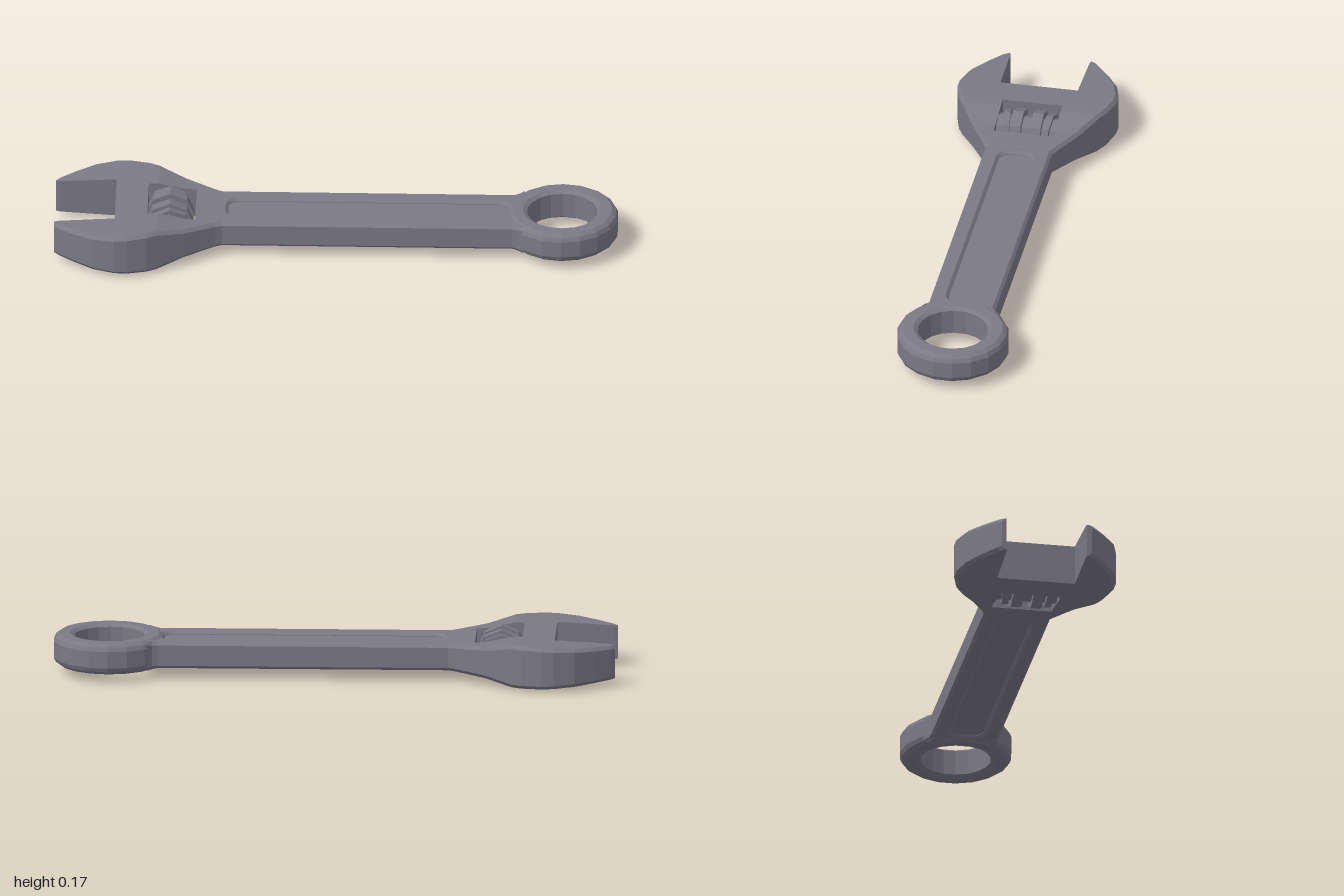
import * as THREE from 'three';

const MID = 0.0865; // height of the wrench's middle plane

// Loft one half of a chamfered bar along x; stations are [x, zInner, zOuter, halfThickness]
function halfLoft(stations, side, chamfer) {
  const pos = [];
  const loops = stations.map(([x, zi, zo, h]) => {
    const c = Math.min(chamfer, (zo - zi) * 0.6);
    return [
      [zi, -h], [zo - c, -h], [zo, -h + chamfer], [zo, h - chamfer], [zo - c, h], [zi, h],
    ].map(([z, y]) => [x, y, z * side]);
  });
  const tri = (a, b, c) => (side > 0 ? pos.push(...a, ...b, ...c) : pos.push(...a, ...c, ...b));
  for (let i = 0; i < loops.length - 1; i++) {
    const p = loops[i], q = loops[i + 1];
    for (let j = 0; j < 6; j++) {
      const k = (j + 1) % 6;
      tri(p[j], q[j], p[k]);
      tri(p[k], q[j], q[k]);
    }
  }
  const s = loops[0], e = loops[loops.length - 1];
  for (let j = 1; j < 5; j++) {
    tri(s[0], s[j], s[j + 1]);
    tri(e[0], e[j + 1], e[j]);
  }
  const g = new THREE.BufferGeometry();
  g.setAttribute('position', new THREE.Float32BufferAttribute(pos, 3));
  g.computeVertexNormals();
  return g;
}

// Trace a rounded rectangle into a shape or path
function roundedRect(path, x0, x1, h, r) {
  path.moveTo(x0 + r, -h);
  path.lineTo(x1 - r, -h);
  path.absarc(x1 - r, -h + r, r, -Math.PI / 2, 0);
  path.lineTo(x1, h - r);
  path.absarc(x1 - r, h - r, r, 0, Math.PI / 2);
  path.lineTo(x0 + r, h);
  path.absarc(x0 + r, h - r, r, Math.PI / 2, Math.PI);
  path.lineTo(x0, -h + r);
  path.absarc(x0 + r, -h + r, r, Math.PI, Math.PI * 1.5);
  return path;
}

export function createModel() {
  const model = new THREE.Group();
  const steel = new THREE.MeshStandardMaterial({ color: 0x7b7986, flatShading: true });
  steel.name = 'steel grey';

  const add = (name, geometry, parent = model) => {
    const mesh = new THREE.Mesh(geometry, steel);
    mesh.name = name;
    parent.add(mesh);
    return mesh;
  };

  const body = new THREE.Group();
  body.name = 'wrench';
  body.position.y = MID;
  model.add(body);

  // Head: jaws, bridge, window rails and the taper into the handle
  const sections = {
    jaw: [
      [-1, 0.145, 0.162, 0.06], [-0.985, 0.143, 0.18, 0.062], [-0.93, 0.142, 0.222, 0.065],
      [-0.86, 0.141, 0.267, 0.069], [-0.785, 0.14, 0.288, 0.073],
    ],
    bridge: [[-0.785, 0, 0.288, 0.073], [-0.74, 0, 0.287, 0.075], [-0.67, 0, 0.267, 0.077]],
    windowRail: [
      [-0.67, 0.108, 0.267, 0.077], [-0.635, 0.108, 0.248, 0.077],
      [-0.54, 0.108, 0.195, 0.057], [-0.5, 0.108, 0.171, 0.054],
    ],
    headTaper: [[-0.5, 0, 0.171, 0.054], [-0.43, 0, 0.13, 0.049], [-0.405, 0, 0.12, 0.0475]],
    ringNeck: [[0.625, 0, 0.12, 0.0475], [0.645, 0, 0.126, 0.051], [0.664, 0, 0.142, 0.053]],
  };
  for (const [name, stations] of Object.entries(sections)) {
    for (const side of [1, -1]) {
      add(name + (side > 0 ? 'Front' : 'Back'), halfLoft(stations, side, 0.012), body);
    }
  }

  // Handle frame with a long rounded recess on both faces
  const outline = new THREE.Shape();
  outline.moveTo(-0.42, -0.11);
  outline.lineTo(0.64, -0.11);
  outline.lineTo(0.64, 0.11);
  outline.lineTo(-0.42, 0.11);
  outline.closePath();
  outline.holes.push(roundedRect(new THREE.Path(), -0.395, 0.62, 0.07, 0.05));
  const frame = new THREE.ExtrudeGeometry(outline, {
    depth: 0.074, bevelThickness: 0.01, bevelSize: 0.01, bevelSegments: 1, curveSegments: 6,
  });
  frame.translate(0, 0, -0.037);
  frame.rotateX(-Math.PI / 2);
  add('handleFrame', frame, body);
  const web = add('handleWeb', new THREE.BoxGeometry(1.05, 0.07, 0.19), body);
  web.position.x = 0.11;

  // Closed ring at the other end
  const profile = [
    [0.2, -0.03], [0.2, 0.03], [0.193, 0.045], [0.178, 0.056], [0.14, 0.056], [0.125, 0.046],
    [0.125, -0.046], [0.14, -0.056], [0.178, -0.056], [0.193, -0.045], [0.2, -0.03],
  ].map(([r, y]) => new THREE.Vector2(r, y));
  add('ring', new THREE.LatheGeometry(profile, 18), body).position.x = 0.8;

  // Adjusting screw: a core with octagonal ribs, the outer ones leaning
  const screw = new THREE.Group();
  screw.name = 'adjustingScrew';
  screw.position.x = -0.592;
  body.add(screw);
  const barrel = (r, length) => new THREE.CylinderGeometry(r, r, length, 8).rotateX(Math.PI / 2);
  add('screwCore', barrel(0.063, 0.216), screw);
  for (const side of [1, -1]) {
    add('screwRib', barrel(0.0865, 0.038), screw).position.z = side * 0.036;
    const outer = add('screwEndRib', barrel(0.079, 0.024), screw);
    outer.position.z = side * 0.077;
    outer.rotation.y = side * 0.1;
  }

  return model;
}
